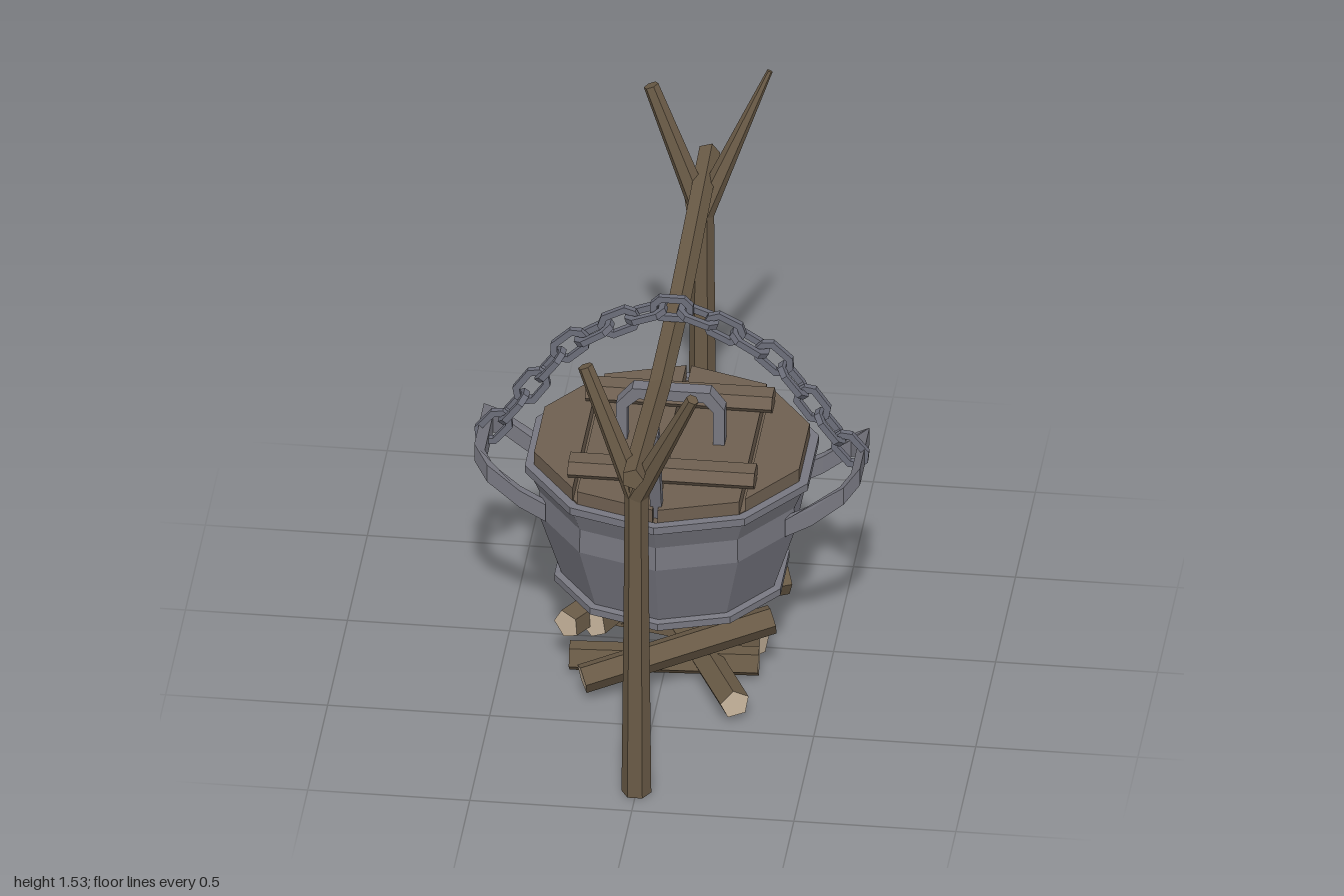
import * as THREE from 'three';

const V = (p) => new THREE.Vector3(...p);
const material = (name, color) => {
  const m = new THREE.MeshStandardMaterial({ color, flatShading: true });
  m.name = name;
  return m;
};

// Faceted limb swept through points, one radius per point; sides in group 0, caps in group 1
function limbGeometry(points, radii, sides) {
  const pts = points.map(V), pos = [], side = [], caps = [];
  const up = new THREE.Vector3(0, 1, 0), q = new THREE.Quaternion();
  pts.forEach((p, i) => {
    const dir = pts[Math.min(i + 1, pts.length - 1)].clone().sub(pts[Math.max(i - 1, 0)]).normalize();
    q.setFromUnitVectors(up, dir);
    for (let j = 0; j < sides; j++) {
      const a = (j / sides) * Math.PI * 2, r = radii[i];
      const v = new THREE.Vector3(Math.cos(a) * r, 0, Math.sin(a) * r).applyQuaternion(q).add(p);
      pos.push(v.x, v.y, v.z);
    }
  });
  const last = (pts.length - 1) * sides, c0 = pts.length * sides, c1 = c0 + 1;
  pos.push(...pts[0].toArray(), ...pts[pts.length - 1].toArray());
  for (let j = 0; j < sides; j++) {
    const k = (j + 1) % sides;
    for (let i = 0; i < pts.length - 1; i++) {
      const a = i * sides + j, b = i * sides + k;
      side.push(a, a + sides, b, b, a + sides, b + sides);
    }
    caps.push(c0, j, k, c1, last + k, last + j);
  }
  const g = new THREE.BufferGeometry();
  g.setAttribute('position', new THREE.Float32BufferAttribute(pos, 3));
  g.setIndex([...side, ...caps]);
  g.addGroup(0, side.length, 0);
  g.addGroup(side.length, caps.length, 1);
  g.computeVertexNormals();
  return g;
}

const polygon = (pts) => new THREE.Shape(pts.map(([x, y]) => new THREE.Vector2(x, y)));
const extrude = (shape, depth) => new THREE.ExtrudeGeometry(shape, { depth, bevelEnabled: false });
// Flat slab lying in xz, rising from y = 0
const slab = (pts, height) => extrude(polygon(pts), height).rotateX(-Math.PI / 2);

export function createModel() {
  const iron = material('iron', 0x777780);
  const chainIron = material('chain iron', 0x6c6e7a);
  const bark = material('bark', 0x695a46);
  const plankWood = material('plank wood', 0x6e5f50);
  const cutWood = material('cut wood', 0xcbb89f);

  const model = new THREE.Group();
  model.name = 'campfireCauldron';
  const add = (parent, name, geometry, mat) => {
    const mesh = new THREE.Mesh(geometry, mat);
    mesh.name = name;
    parent.add(mesh);
    return mesh;
  };
  const group = (name, parent = model) => {
    const g = new THREE.Group();
    g.name = name;
    parent.add(g);
    return g;
  };

  // Forked posts and crossbeam
  const frame = group('frame');
  const limb = (name, pts, radii, sides = 6) =>
    add(frame, name, limbGeometry(pts, radii, sides), [bark, bark]);
  const post = (name, z, tips) => {
    limb(name, [[0, 0, z], [0, 0.6, z], [0, 1.14, z]], [0.046, 0.04, 0.036]);
    for (const [tip, r] of tips) limb(name + 'Branch', [[0, 1.07, z], tip], [0.038, r]);
  };
  post('frontPost', 0.885, [[[-0.165, 1.48, 0.825], 0.024], [[0.185, 1.48, 0.98], 0.02]]);
  post('backPost', -0.775, [[[-0.165, 1.48, -0.83], 0.024], [[0.195, 1.525, -0.885], 0.009]]);
  limb('crossbeam', [[0, 1.185, 0.99], [0, 1.11, 0.33], [0, 1.11, -0.2], [0, 1.185, -0.94]],
    [0.035, 0.036, 0.036, 0.035], 5);
  limb('twig', [[0, 0.72, -0.78], [-0.03, 0.8, -0.93], [-0.08, 0.98, -1.0]], [0.022, 0.018, 0.003], 5);

  // Ten-sided pot
  const pot = group('pot');
  pot.position.z = -0.01;
  const profile = [[0, 0.255], [0.367, 0.255], [0.367, 0.278], [0.345, 0.282], [0.39, 0.42], [0.416, 0.5],
    [0.413, 0.58], [0.445, 0.655], [0.459, 0.655], [0.459, 0.68], [0.428, 0.68], [0.39, 0.58]];
  add(pot, 'potBody', new THREE.LatheGeometry(profile.map((p) => new THREE.Vector2(...p)), 10), iron);

  // Side handles: flat loops bent upward
  const loop = [[0, 0.17], [0.08, 0.17], [0.18, 0.165], [0.225, 0.12], [0.225, -0.12], [0.18, -0.165],
    [0.08, -0.17], [0, -0.17], [0, -0.142], [0.08, -0.142], [0.165, -0.138], [0.195, -0.1],
    [0.195, 0.1], [0.165, 0.138], [0.08, 0.142], [0, 0.142]];
  const handle = slab(loop, 0.06);
  const hp = handle.attributes.position;
  for (let i = 0; i < hp.count; i++) {
    const u = hp.getX(i);
    hp.setY(i, hp.getY(i) + 0.5 + 0.45 * u + 1.4 * u * u);
    hp.setX(i, u + 0.37);
  }
  handle.computeVertexNormals();
  add(pot, 'leftHandle', handle, iron);
  add(pot, 'rightHandle', handle, iron).rotation.y = Math.PI;

  // Plank lid
  const lid = group('lid', pot);
  add(lid, 'lidBase', new THREE.CylinderGeometry(0.42, 0.42, 0.02, 10).translate(0, 0.665, 0), plankWood);
  for (const s of [1, -1]) {
    const planks = [
      [[0.008, 0.427], [0.25, 0.348], [0.25, -0.348], [0.008, -0.427]],
      [[0.266, 0.33], [0.409, 0.133], [0.409, -0.133], [0.266, -0.33]],
    ];
    for (const p of planks) {
      add(lid, 'plank', slab(p.map(([x, z]) => [x * s, z]), 0.055).translate(0, 0.67, 0), plankWood);
    }
    const section = [[-0.055, 0.025], [-0.03, 0], [0.03, 0], [0.055, 0.025], [0.03, 0.056], [-0.03, 0.056]];
    add(lid, 'batten', extrude(polygon(section), 0.575).translate(0, 0, -0.2875).rotateY(Math.PI / 2)
      .translate(0, 0.724, 0.225 * s + 0.012), plankWood);
  }
  const arch = [[-0.17, 0.71], [-0.17, 0.85], [-0.12, 0.908], [0.12, 0.908], [0.165, 0.85], [0.165, 0.71],
    [0.13, 0.71], [0.13, 0.84], [0.1, 0.872], [-0.1, 0.872], [-0.135, 0.84], [-0.135, 0.71]];
  add(lid, 'lidHandle', extrude(polygon(arch), 0.05).translate(0, 0, -0.025), iron);

  // Ladle shaft leaning out at the front
  const ladle = add(model, 'ladle', new THREE.BoxGeometry(0.035, 0.38, 0.042), iron);
  ladle.position.set(0, 0.855, 0.413);
  ladle.rotation.x = 0.284;

  // Chain slung over the crossbeam, links turned alternately
  const chain = group('chain');
  chain.position.z = -0.012;
  const oval = (l, w, c) => [[-l, -w + c], [-l + c, -w], [l - c, -w], [l, -w + c],
    [l, w - c], [l - c, w], [-l + c, w], [-l, w - c]];
  const linkShape = polygon(oval(0.066, 0.043, 0.026));
  linkShape.holes.push(polygon(oval(0.045, 0.023, 0.014)));
  const link = extrude(linkShape, 0.02).translate(0, 0, -0.01);
  const half = [[0, 1.19], [0.08, 1.167], [0.163, 1.13], [0.24, 1.085], [0.315, 1.035],
    [0.375, 0.96], [0.433, 0.88], [0.488, 0.8], [0.55, 0.725]];
  const path = [...half.slice(1).reverse().map(([x, y]) => [-x, y]), ...half];
  path.forEach(([x, y], i) => {
    const a = path[Math.max(i - 1, 0)], b = path[Math.min(i + 1, path.length - 1)];
    const mesh = add(chain, 'chainLink', link, chainIron);
    mesh.position.set(x, y, 0);
    mesh.rotation.order = 'ZYX';
    mesh.rotation.set(i % 2 ? Math.PI / 2 : 0, 0, Math.atan2(b[1] - a[1], b[0] - a[0]));
  });

  // Firewood with pale cut ends
  const fire = group('firewood');
  const logs = [
    [[-0.23, 0.075, 0.37], [0.33, 0.2, 0.155]],
    [[-0.29, 0.048, 0.2], [0.29, 0.048, 0.165]],
    [[-0.28, 0.048, -0.1], [0.29, 0.048, 0.04]],
    [[0.25, 0.06, 0.44], [-0.05, 0.055, -0.2]],
    [[-0.3, 0.16, 0.2], [0.05, 0.17, -0.37]],
    [[-0.15, 0.165, 0.1], [0.34, 0.165, -0.14]],
    [[-0.22, 0.15, 0.17], [0, 0.15, -0.28]],
  ];
  for (const l of logs) add(fire, 'log', limbGeometry(l, [0.048, 0.048], 5), [bark, cutWood]);

  return model;
}
